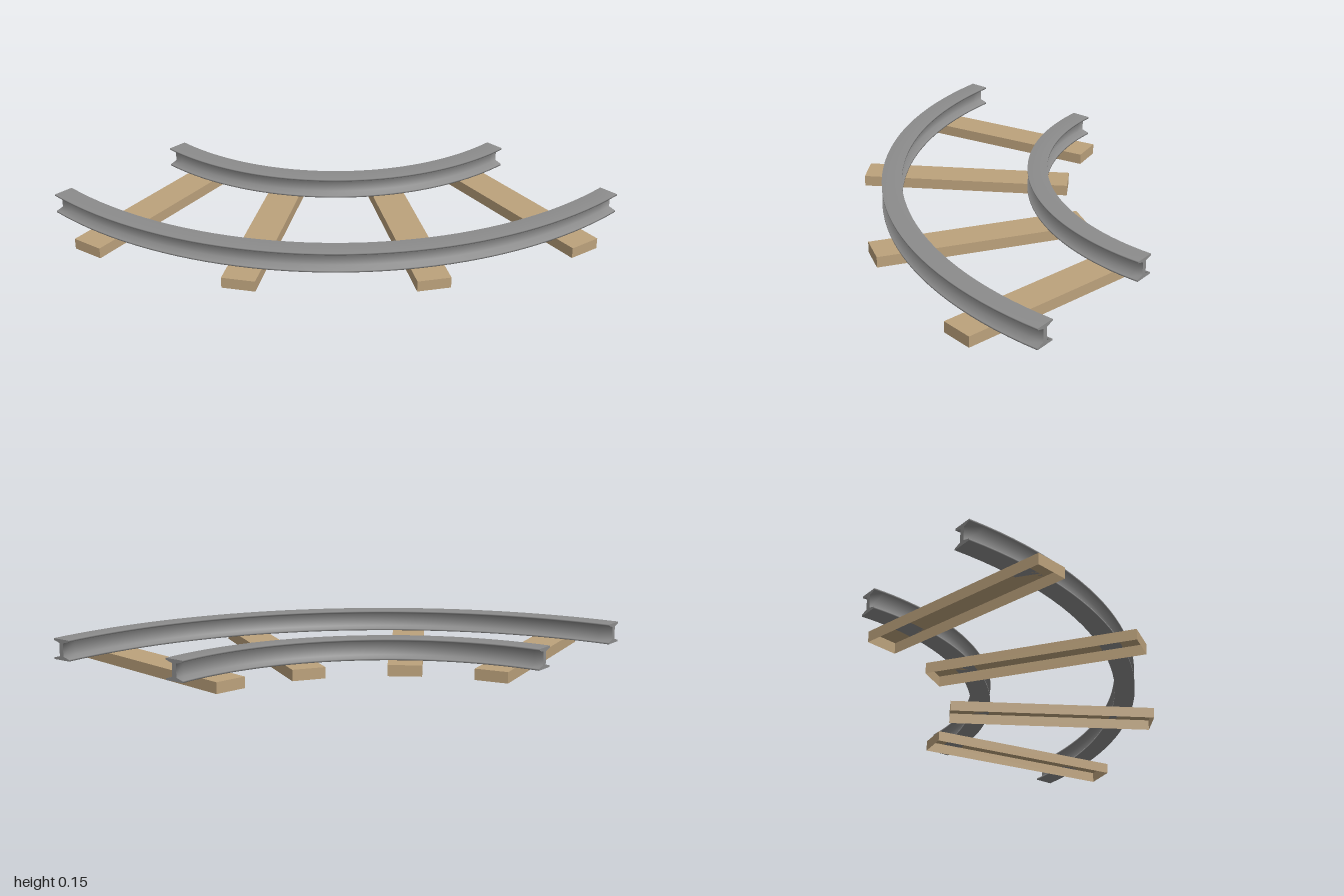
import * as THREE from 'three';

const CENTRE = -1; // the curve's centre lies at x = z = -1
const SEGMENTS = 40;

// I-shaped rail section as [offset from rail line, height], counter-clockwise
const half = [
  [0.048, 0.052], [0.048, 0.060], [0.012, 0.070],
  [0.012, 0.132], [0.048, 0.142], [0.048, 0.150],
];
const profile = [...half, ...half.map(([u, y]) => [-u, y]).reverse()];

// Sweep the section through a quarter turn, then cap both ends
function railGeometry(radius) {
  const n = profile.length;
  const positions = [];
  const index = [];
  const addRing = (angle) => {
    const start = positions.length / 3;
    for (const [u, y] of profile) {
      const r = radius + u;
      positions.push(CENTRE + r * Math.sin(angle), y, CENTRE + r * Math.cos(angle));
    }
    return start;
  };

  for (let i = 0; i <= SEGMENTS; i++) addRing((i / SEGMENTS) * Math.PI / 2);
  for (let i = 0; i < SEGMENTS; i++) {
    for (let j = 0; j < n; j++) {
      const k = (j + 1) % n;
      const a = i * n, b = a + n;
      index.push(a + j, b + j, b + k, a + j, b + k, a + k);
    }
  }

  const contour = profile.map(([u, y]) => new THREE.Vector2(u, y));
  const faces = THREE.ShapeUtils.triangulateShape(contour, []);
  const first = addRing(0);
  const last = addRing(Math.PI / 2);
  for (const [a, b, c] of faces) {
    index.push(first + a, first + b, first + c, last + a, last + c, last + b);
  }

  const geometry = new THREE.BufferGeometry();
  geometry.setAttribute('position', new THREE.Float32BufferAttribute(positions, 3));
  geometry.setIndex(index);
  geometry.computeVertexNormals();
  return geometry;
}

// Hollow sleeper: a box without its underside
function sleeperGeometry() {
  const geometry = new THREE.BoxGeometry(0.157, 0.052, 1.01);
  const all = Array.from(geometry.index.array);
  geometry.setIndex([...all.slice(0, 18), ...all.slice(24)]);
  geometry.clearGroups();
  return geometry;
}

export function createModel() {
  const group = new THREE.Group();
  group.name = 'curvedTrack';
  const steel = new THREE.MeshStandardMaterial({ color: 0x8c8c8c, side: THREE.DoubleSide });
  const wood = new THREE.MeshStandardMaterial({ color: 0xbca27c, side: THREE.DoubleSide });

  // Rails
  for (const [name, radius] of [['innerRail', 1.155], ['outerRail', 1.86]]) {
    const rail = new THREE.Mesh(railGeometry(radius), steel);
    rail.name = name;
    group.add(rail);
  }

  // Sleepers, laid radially
  const sleeper = sleeperGeometry();
  [10, 32.5, 57.5, 80].forEach((degrees, i) => {
    const angle = THREE.MathUtils.degToRad(degrees);
    const mesh = new THREE.Mesh(sleeper, wood);
    mesh.name = `sleeper${i + 1}`;
    mesh.position.set(CENTRE + 1.51 * Math.sin(angle), 0.026, CENTRE + 1.51 * Math.cos(angle));
    mesh.rotation.y = angle;
    group.add(mesh);
  });

  return group;
}
